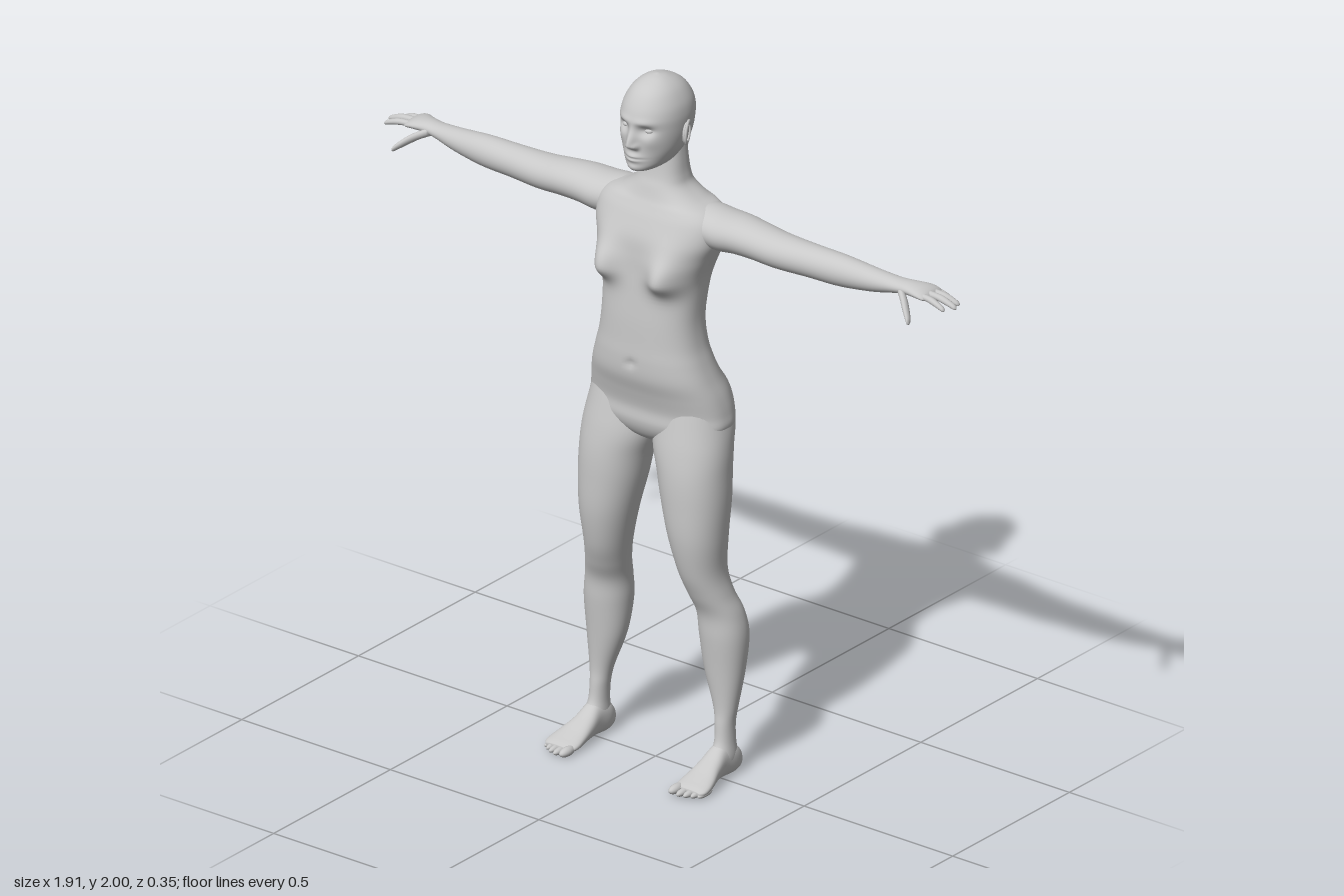
import * as THREE from 'three';

const skin = new THREE.MeshStandardMaterial({ color: 0xc8c8c8 });
skin.name = 'plain grey';

const bell = (d, s) => Math.exp(-(d / s) * (d / s));
const power = (v, e) => Math.sign(v) * Math.abs(v) ** (2 / e);

// Smoothly interpolate between the cross-section rows
function sampleRows(rows, steps) {
  const out = [];
  const at = (i) => rows[Math.min(rows.length - 1, Math.max(0, i))];
  for (let i = 0; i < rows.length - 1; i++) {
    for (let s = 0; s < steps; s++) {
      const t = s / steps;
      out.push(rows[i].map((b, k) => {
        const a = at(i - 1)[k], c = at(i + 1)[k], d = at(i + 2)[k];
        return b + 0.5 * t * (c - a + t * (2 * a - 5 * b + 4 * c - d + t * (3 * (b - c) + d - a)));
      }));
    }
  }
  out.push(rows[rows.length - 1]);
  return out;
}

// Closed skin through cross-sections; point(row, cos, sin) gives one vertex
function loft(rows, point, around = 48, steps = 6) {
  const rings = sampleRows(rows, steps);
  const pos = [], index = [], last = rings.length - 1;
  const id = (i, j) => i * around + (j % around);
  for (const row of rings) {
    for (let j = 0; j < around; j++) {
      const a = (j / around) * Math.PI * 2;
      pos.push(...point(row, Math.cos(a), Math.sin(a)));
    }
  }
  for (let i = 0; i < last; i++) {
    for (let j = 0; j < around; j++) {
      const a = id(i, j), b = id(i, j + 1), c = id(i + 1, j), d = id(i + 1, j + 1);
      index.push(a, c, b, b, c, d);
    }
  }
  for (const end of [0, last]) {
    const mid = [0, 1, 2].map((k) => {
      let sum = 0;
      for (let j = 0; j < around; j++) sum += pos[id(end, j) * 3 + k];
      return sum / around;
    });
    const centre = pos.length / 3;
    pos.push(...mid);
    for (let j = 0; j < around; j++) {
      if (end) index.push(id(end, j), centre, id(end, j + 1));
      else index.push(id(end, j + 1), centre, id(end, j));
    }
  }
  const g = new THREE.BufferGeometry();
  g.setAttribute('position', new THREE.Float32BufferAttribute(pos, 3));
  g.setIndex(index);
  g.computeVertexNormals();
  return g;
}

// Mirror a geometry across x = 0, keeping the faces outward
function mirrored(geometry) {
  const g = geometry.clone().scale(-1, 1, 1);
  const ix = g.index.array;
  for (let i = 0; i < ix.length; i += 3) [ix[i], ix[i + 1]] = [ix[i + 1], ix[i]];
  g.computeVertexNormals();
  return g;
}

// Body relief: breasts, buttocks, spine groove and navel
function bodyPoint(x, y, z, s) {
  const ax = Math.abs(x);
  if (s > 0) {
    z += 0.056 * Math.sqrt(s) * bell(ax - 0.105, 0.05) * bell(y - 1.45, y < 1.45 ? 0.04 : 0.07);
    z -= 0.008 * bell(x, 0.01) * bell(y - 1.19, 0.012);
  } else {
    z -= 0.052 * Math.sqrt(-s) * bell(ax - 0.095, 0.075) * bell(y - 1.035, y < 1.035 ? 0.085 : 0.1);
    z += 0.01 * bell(x, 0.022) * bell(y - 1.36, 0.22);
    z -= 0.008 * bell(ax - 0.1, 0.05) * bell(y - 1.53, 0.07);
  }
  return [x, y, z];
}

// rows: y, half width, front z, back z
function torsoPoint([y, w, f, b], c, s) {
  return bodyPoint(w * power(c, 2.4), y, (f + b) / 2 + ((f - b) / 2) * power(s, 2.4), s);
}

// rows: y, centre x, half width, front z, back z
function legPoint([y, cx, w, f, b], c, s) {
  return bodyPoint(cx + w * power(c, 2.1), y, (f + b) / 2 + ((f - b) / 2) * power(s, 2.1), s);
}

// rows: x, centre y, centre z, half height, half depth
const armPoint = ([x, cy, cz, h, d], c, s) => [x, cy + h * c, cz - d * s];

// rows: z, centre x, half width, bottom y, top y
const footPoint = ([z, cx, w, lo, hi], c, s) =>
  [cx + w * power(c, 2.3), (lo + hi) / 2 - ((hi - lo) / 2) * power(s, 2.3), z];

// Face relief on the head: brow, eye sockets, nose, cheeks, lips and chin
function headPoint([y, w, f, b], c, s) {
  const x = w * power(c, 2.15), ax = Math.abs(x);
  let z = (f + b) / 2 + ((f - b) / 2) * power(s, 2.15);
  if (s > 0) {
    let d = 0.025 * bell(x, 0.013) * bell(y - 1.83, y < 1.83 ? 0.011 : 0.036);
    d += 0.009 * bell(ax - 0.014, 0.007) * bell(y - 1.826, 0.009);
    d -= 0.014 * bell(ax - 0.036, 0.021) * bell(y - 1.872, 0.014);
    d += 0.004 * bell(ax - 0.03, 0.03) * bell(y - 1.896, 0.01);
    d += 0.004 * bell(ax - 0.05, 0.02) * bell(y - 1.84, 0.02);
    d += 0.011 * bell(x, 0.024) * bell(y - 1.79, 0.012);
    d -= 0.007 * bell(x, 0.026) * bell(y - 1.79, 0.0035);
    d += 0.005 * bell(x, 0.02) * bell(y - 1.762, 0.01);
    z += d * Math.min(1, s * 2);
  }
  return [x, y, z];
}

// Tapered finger from knuckle to tip with a slight bend
function finger(from, to, r) {
  const rows = [[0, 1], [0.3, 0.95], [0.55, 1], [0.8, 0.85], [0.95, 0.65], [1, 0.1]].map(([t, k]) => {
    const [x, y, z] = from.map((v, i) => v + (to[i] - v) * t);
    return [x, y + 0.006 * Math.sin(Math.PI * t), z, r * k, r * k * 1.1];
  });
  return loft(rows, armPoint, 14, 4);
}

export function createModel() {
  const model = new THREE.Group();
  model.name = 'standing figure';
  const add = (name, geometry) => {
    const mesh = new THREE.Mesh(geometry, skin);
    mesh.name = name;
    model.add(mesh);
  };
  const addPair = (name, geometry) => {
    add('left ' + name, geometry);
    add('right ' + name, mirrored(geometry));
  };

  // Torso and neck
  add('torso', loft([
    [0.935, 0.02, 0.02, -0.05], [0.955, 0.09, 0.05, -0.1], [0.98, 0.18, 0.068, -0.115],
    [1.01, 0.218, 0.077, -0.13], [1.05, 0.216, 0.077, -0.135], [1.1, 0.205, 0.09, -0.128],
    [1.15, 0.187, 0.106, -0.112], [1.2, 0.17, 0.11, -0.1], [1.25, 0.156, 0.108, -0.092],
    [1.32, 0.148, 0.105, -0.09], [1.4, 0.151, 0.098, -0.104], [1.45, 0.158, 0.093, -0.117],
    [1.5, 0.175, 0.09, -0.128], [1.55, 0.194, 0.084, -0.138], [1.6, 0.195, 0.065, -0.137],
    [1.63, 0.17, 0.05, -0.13], [1.65, 0.122, 0.04, -0.12], [1.68, 0.082, 0.03, -0.106],
    [1.71, 0.07, 0.02, -0.098], [1.76, 0.065, 0.013, -0.09], [1.83, 0.06, 0.01, -0.085],
  ], torsoPoint, 96, 6));

  // Head
  add('head', loft([
    [1.748, 0.022, 0.08, -0.02], [1.752, 0.037, 0.094, -0.04], [1.765, 0.054, 0.098, -0.06],
    [1.785, 0.067, 0.098, -0.082], [1.81, 0.078, 0.098, -0.1], [1.84, 0.085, 0.099, -0.113],
    [1.87, 0.088, 0.101, -0.12], [1.9, 0.088, 0.1, -0.122], [1.93, 0.082, 0.09, -0.114],
    [1.96, 0.067, 0.071, -0.095], [1.98, 0.049, 0.048, -0.07], [1.994, 0.026, 0.02, -0.037],
    [2, 0.003, -0.005, -0.011],
  ], headPoint, 128, 8));
  addPair('eye', new THREE.SphereGeometry(1, 20, 14).scale(0.014, 0.008, 0.012).translate(0.036, 1.871, 0.073));
  addPair('ear', new THREE.SphereGeometry(1, 20, 14).scale(0.007, 0.03, 0.017)
    .rotateY(0.35).rotateX(-0.15).translate(0.09, 1.848, -0.014));
  addPair('ear rim', new THREE.TorusGeometry(0.017, 0.004, 8, 28).scale(1, 1.75, 1)
    .rotateY(Math.PI / 2 + 0.35).rotateX(-0.15).translate(0.095, 1.85, -0.017));

  // Arms with palms
  addPair('arm', loft([
    [0.09, 1.59, -0.05, 0.035, 0.05], [0.14, 1.588, -0.05, 0.054, 0.07], [0.2, 1.584, -0.048, 0.056, 0.073],
    [0.26, 1.59, -0.042, 0.053, 0.068], [0.32, 1.59, -0.037, 0.05, 0.062], [0.4, 1.583, -0.038, 0.048, 0.056],
    [0.5, 1.582, -0.041, 0.045, 0.048], [0.6, 1.582, -0.043, 0.043, 0.043], [0.7, 1.582, -0.05, 0.032, 0.035],
    [0.77, 1.585, -0.058, 0.021, 0.03], [0.81, 1.588, -0.062, 0.018, 0.032], [0.845, 1.586, -0.069, 0.016, 0.041],
    [0.868, 1.581, -0.073, 0.012, 0.042], [0.878, 1.578, -0.074, 0.003, 0.034],
  ], armPoint, 48, 6));
  const fingers = {
    'little finger': [[0.845, 1.579, -0.103], [0.903, 1.55, -0.128], 0.008],
    'ring finger': [[0.855, 1.582, -0.088], [0.938, 1.556, -0.108], 0.009],
    'middle finger': [[0.86, 1.583, -0.069], [0.955, 1.563, -0.073], 0.0095],
    'index finger': [[0.855, 1.582, -0.047], [0.942, 1.566, -0.038], 0.009],
    'thumb': [[0.79, 1.582, -0.045], [0.87, 1.53, 0.022], 0.013],
  };
  for (const [name, [from, to, r]] of Object.entries(fingers)) addPair(name, finger(from, to, r));

  // Legs
  addPair('leg', loft([
    [0.03, 0.213, 0.027, 0.01, -0.068], [0.06, 0.213, 0.029, 0.025, -0.068], [0.1, 0.212, 0.025, 0.006, -0.062],
    [0.15, 0.21, 0.026, 0, -0.062], [0.2, 0.208, 0.034, -0.003, -0.07], [0.3, 0.198, 0.057, 0.005, -0.095],
    [0.4, 0.194, 0.068, 0.015, -0.11], [0.47, 0.187, 0.065, 0.021, -0.1], [0.53, 0.172, 0.061, 0.045, -0.08],
    [0.6, 0.158, 0.063, 0.07, -0.07], [0.7, 0.149, 0.079, 0.09, -0.075], [0.8, 0.139, 0.094, 0.095, -0.09],
    [0.88, 0.13, 0.102, 0.094, -0.098], [0.95, 0.118, 0.111, 0.086, -0.108], [1.02, 0.113, 0.105, 0.072, -0.12],
    [1.1, 0.11, 0.085, 0.055, -0.095],
  ], legPoint, 56, 6));

  // Feet and toes
  addPair('foot', loft([
    [-0.08, 0.213, 0.008, 0.02, 0.045], [-0.073, 0.213, 0.022, 0.008, 0.065], [-0.045, 0.212, 0.03, 0, 0.09],
    [0, 0.212, 0.03, 0.002, 0.095], [0.04, 0.213, 0.036, 0.004, 0.07], [0.08, 0.217, 0.045, 0.003, 0.048],
    [0.11, 0.219, 0.05, 0.001, 0.035], [0.13, 0.22, 0.048, 0.003, 0.027], [0.143, 0.22, 0.038, 0.008, 0.02],
  ], footPoint, 40, 5));
  [[0.184, 0.175, 0.014], [0.207, 0.174, 0.0105], [0.226, 0.168, 0.01], [0.243, 0.158, 0.0095], [0.258, 0.147, 0.009]]
    .forEach(([x, tip, r], i) => addPair('toe ' + (i + 1),
      new THREE.SphereGeometry(1, 16, 12).scale(r, r * 0.95, 0.03).translate(x, r * 0.95, tip - 0.03)));

  return model;
}
